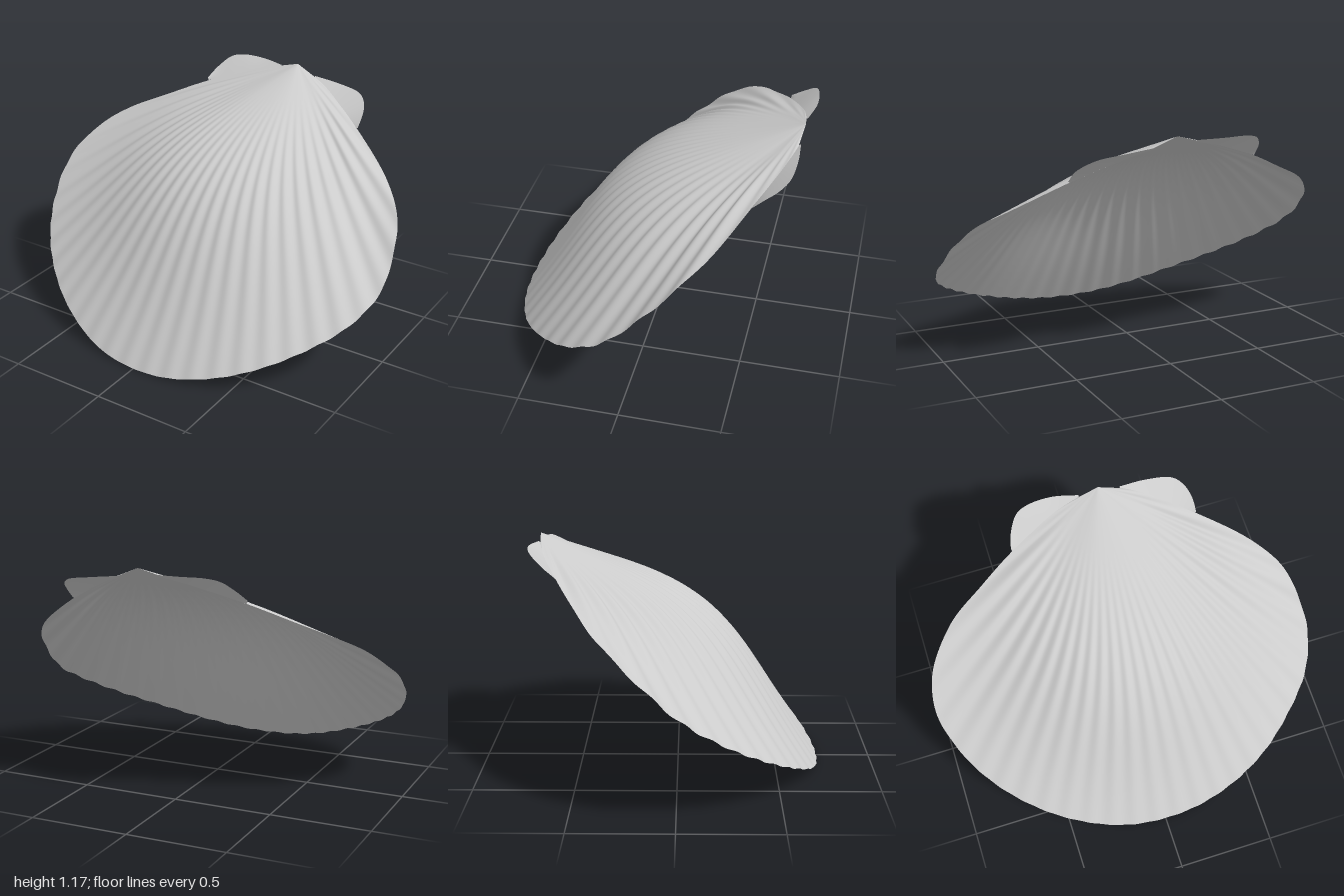
import * as THREE from 'three';

const V = (p) => new THREE.Vector3(...p);
const curve = (pts) => new THREE.CatmullRomCurve3(pts.map(V), false, 'centripetal');
const material = new THREE.MeshStandardMaterial({ color: 0xcccccc, side: THREE.DoubleSide });

// Smooth surface through a grid of points: at(i / cols, j / rows) gives each vertex
function gridMesh(name, cols, rows, at) {
  const pos = [], index = [];
  for (let i = 0; i <= cols; i++) {
    for (let j = 0; j <= rows; j++) {
      pos.push(...at(i / cols, j / rows).toArray());
      if (i < cols && j < rows) {
        const a = i * (rows + 1) + j, b = a + rows + 1;
        index.push(a, a + 1, b, b, a + 1, b + 1);
      }
    }
  }
  const geo = new THREE.BufferGeometry();
  geo.setAttribute('position', new THREE.Float32BufferAttribute(pos, 3));
  geo.setIndex(index);
  geo.computeVertexNormals();
  const mesh = new THREE.Mesh(geo, material);
  mesh.name = name;
  return mesh;
}

// Beak of the shell, the direction down its slope and the direction it bulges
const beak = V([0.08, 1.17, -0.7]);
const slope = V([0, -0.634, 0.775]);
const outward = V([0, 0.775, 0.634]);

// Rim, from the hinge down the left side, along the bottom and up the right side
const rim = curve([
  [0.2, 1.12, -0.685], [0.28, 1.09, -0.655], [0.53, 0.965, -0.525], [0.8, 0.805, -0.35],
  [0.93, 0.69, -0.21], [0.985, 0.55, -0.06], [0.995, 0.43, 0.08], [0.935, 0.325, 0.25],
  [0.8, 0.225, 0.41], [0.6, 0.125, 0.57], [0.38, 0.05, 0.67], [0.15, 0.008, 0.72],
  [-0.1, 0.008, 0.72], [-0.3, 0.045, 0.68], [-0.55, 0.14, 0.57], [-0.76, 0.255, 0.41],
  [-0.9, 0.37, 0.24], [-0.98, 0.49, 0.07], [-1, 0.58, -0.04], [-0.955, 0.71, -0.19],
  [-0.8, 0.84, -0.36], [-0.6, 0.935, -0.47], [-0.4, 1.02, -0.57], [-0.15, 1.11, -0.665],
  [-0.03, 1.14, -0.69],
]);

// Ribbed dome: rays from beak to rim, lifted into an arch and corrugated
function shellPoint(v, t) {
  const ray = rim.getPointAt(v).sub(beak);
  const length = ray.length();
  const angle = Math.atan2(ray.x, ray.dot(slope));
  const u = Math.min(1, Math.abs(angle + 0.05) / 1.24);
  const profile = 0.128 * Math.sin(Math.PI * t) + 0.006 * Math.sin(2 * Math.PI * t)
    - 0.008 * Math.sin(3 * Math.PI * t);
  const arch = length * profile * Math.pow(1 - u * u, 1.8);
  const ribSize = (0.0055 + 0.009 * u * u) * Math.min(1, length)
    * THREE.MathUtils.smoothstep(t, 0.15, 0.6) * (1 - 0.5 * t * t) * (1 - u ** 6);
  const rib = ribSize * Math.cos(2 * Math.PI * 15 * Math.sin(angle));
  return beak.clone().addScaledVector(ray, t).addScaledVector(outward, arch + rib);
}

// Flat wing beside the hinge, lofted from the shell edge to its outer edge
function ear(name, inner, outer) {
  const a = curve(inner), b = curve(outer);
  return gridMesh(name, 32, 4, (u, v) => a.getPointAt(u).lerp(b.getPointAt(u), v));
}

export function createModel() {
  const model = new THREE.Group();
  model.name = 'scallopShell';
  model.add(
    gridMesh('ribbedShell', 420, 44, shellPoint),
    ear('rightEar',
      [[-0.02, 1.135, -0.685], [-0.15, 1.105, -0.66], [-0.405, 1.02, -0.568]],
      [[-0.02, 1.145, -0.7], [-0.15, 1.15, -0.728], [-0.27, 1.15, -0.722], [-0.335, 1.135, -0.7],
        [-0.385, 1.085, -0.64], [-0.41, 1.035, -0.572]]),
    ear('leftEar',
      [[0.19, 1.115, -0.68], [0.28, 1.085, -0.65], [0.53, 0.965, -0.522]],
      [[0.19, 1.125, -0.695], [0.33, 1.11, -0.7], [0.46, 1.09, -0.682], [0.51, 1.06, -0.64],
        [0.535, 1.02, -0.58], [0.54, 0.968, -0.52]]),
  );
  return model;
}
